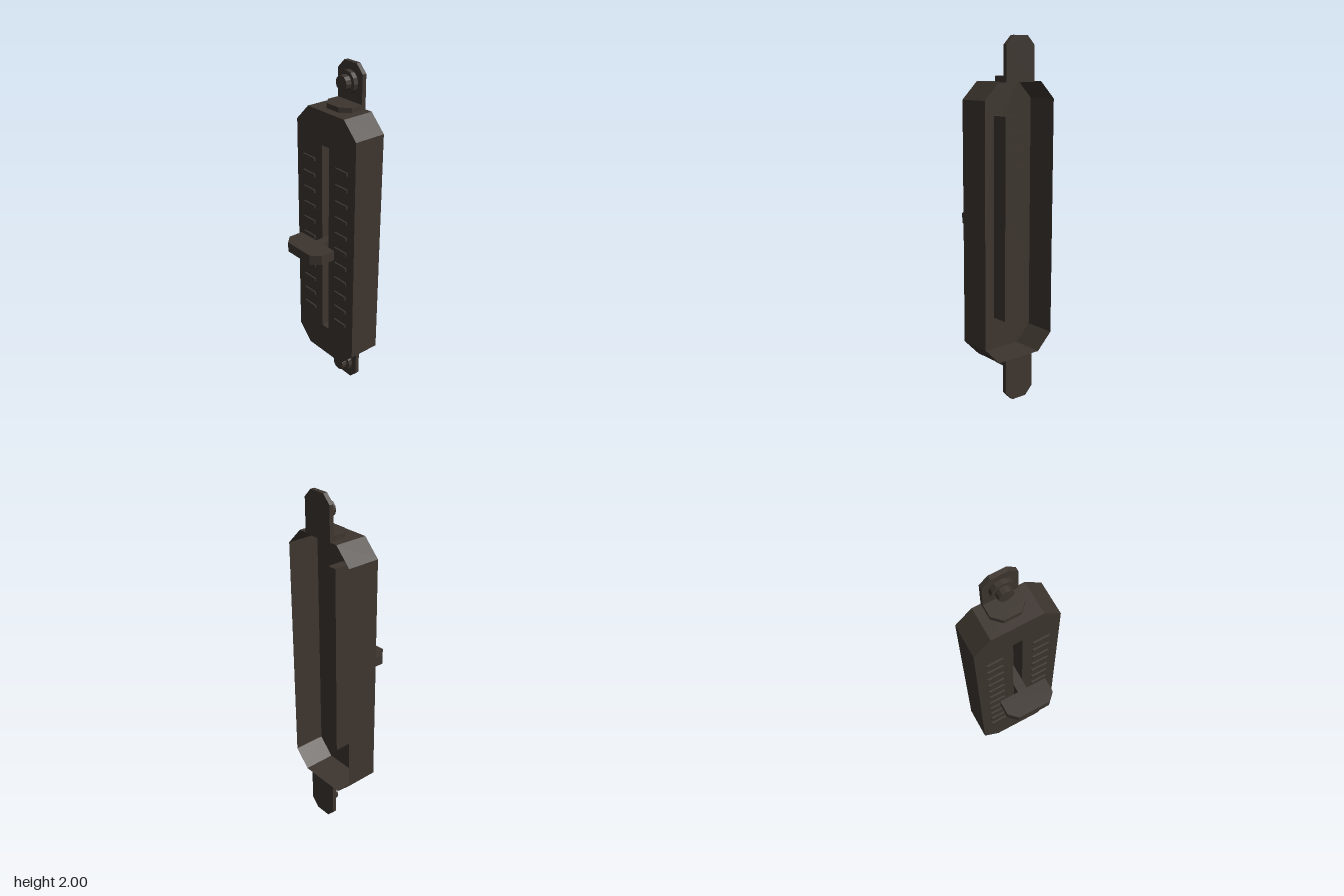
import * as THREE from 'three';

const metal = new THREE.MeshStandardMaterial({ color: 0x3d352f, side: THREE.DoubleSide });
metal.name = 'dark bronze';

function add(parent, name, geometry, x = 0, y = 0, z = 0) {
  const m = new THREE.Mesh(geometry, metal);
  m.name = name;
  m.position.set(x, y, z);
  parent.add(m);
  return m;
}

const outline = (pts) => new THREE.Shape(pts.map(([x, y]) => new THREE.Vector2(x, y)));
const prism = (pts, depth) =>
  new THREE.ExtrudeGeometry(outline(pts), { depth, bevelEnabled: false });

// Open band of flat walls following a closed counterclockwise outline
function walls(pts, z0, z1) {
  const pos = [];
  pts.forEach(([ax, ay], i) => {
    const [bx, by] = pts[(i + 1) % pts.length];
    pos.push(ax, ay, z0, bx, by, z0, bx, by, z1, ax, ay, z0, bx, by, z1, ax, ay, z1);
  });
  const g = new THREE.BufferGeometry();
  g.setAttribute('position', new THREE.Float32BufferAttribute(pos, 3));
  g.computeVertexNormals();
  return g;
}

export function createModel() {
  const model = new THREE.Group();
  model.name = 'sliderSwitch';

  // Housing: thin chamfered shell, open at the back, with a recessed slot
  const housing = new THREE.Group();
  housing.name = 'housing';
  model.add(housing);
  const w = 0.238, h = 0.762, c = 0.095, midY = 1.003;
  const rim = [[-w + c, -h], [w - c, -h], [w, -h + c], [w, h - c],
    [w - c, h], [-w + c, h], [-w, h - c], [-w, -h + c]];
  const sw = 0.028, sh = 0.575, slotDepth = 0.1;
  const slot = [[-sw, -sh], [-sw, sh], [sw, sh], [sw, -sh]];
  const face = outline(rim);
  face.holes.push(outline(slot));
  add(housing, 'frontPlate', new THREE.ShapeGeometry(face), 0, midY, 0);
  add(housing, 'sideWalls', walls(rim, -0.19, 0), 0, midY, 0);
  add(housing, 'slotWalls', walls(slot, -slotDepth, 0), 0, midY, 0);
  add(housing, 'slotFloor', new THREE.PlaneGeometry(2 * sw, 2 * sh), 0, midY, -slotDepth);

  // Scale marks on both sides of the slot
  for (let i = 0; i < 11; i++) {
    for (const s of [-1, 1]) {
      add(model, 'scaleMark', new THREE.BoxGeometry(0.095, 0.019, 0.0095),
        s * 0.133, midY + (i - 5) * 0.0952, 0.0047);
    }
  }

  // Sliding handle with a stem running into the slot
  const handle = new THREE.Group();
  handle.name = 'handle';
  handle.position.y = midY;
  model.add(handle);
  add(handle, 'stem', new THREE.BoxGeometry(0.056, 0.036, 0.157), 0, 0, -0.0215);
  const grip = prism([[-0.142, -0.057], [-0.142, -0.143], [-0.095, -0.19],
    [0.095, -0.19], [0.142, -0.143], [0.142, -0.057]], 0.057);
  grip.rotateX(-Math.PI / 2);
  add(handle, 'grip', grip, 0, -0.0285, 0);

  // Mounting lugs, the lower one turned over
  for (const s of [1, -1]) {
    const lug = new THREE.Group();
    lug.name = s > 0 ? 'topLug' : 'bottomLug';
    lug.position.y = s > 0 ? 1 : 1.0;
    if (s < 0) lug.rotation.z = Math.PI;
    model.add(lug);
    add(lug, 'mountingPlate', prism([[-0.095, 0.76], [0.095, 0.76], [0.095, 0.952],
      [0.048, 1], [-0.048, 1], [-0.095, 0.952]], 0.025), 0, 0, -0.19);
    // Chamfered block between the plate and the housing
    const block = prism([[-0.095, 0.19], [-0.095, 0.096], [-0.048, 0.048],
      [0.048, 0.048], [0.095, 0.096], [0.095, 0.19]], 0.033);
    block.rotateX(-Math.PI / 2);
    block.translate(0, 0, 0);
    // The outline was given with depth running backwards
    add(lug, 'collar', block, 0, 0.76, 0);
    // Bolt and washer
    for (const [name, r, z0, z1] of [['washer', 0.063, -0.165, -0.138],
      ['boltHead', 0.042, -0.138, -0.104]]) {
      const g = new THREE.CylinderGeometry(r, r, z1 - z0, 12).toNonIndexed();
      g.computeVertexNormals();
      g.rotateX(Math.PI / 2);
      add(lug, name, g, 0, 0.897, (z0 + z1) / 2);
    }
  }

  return model;
}
